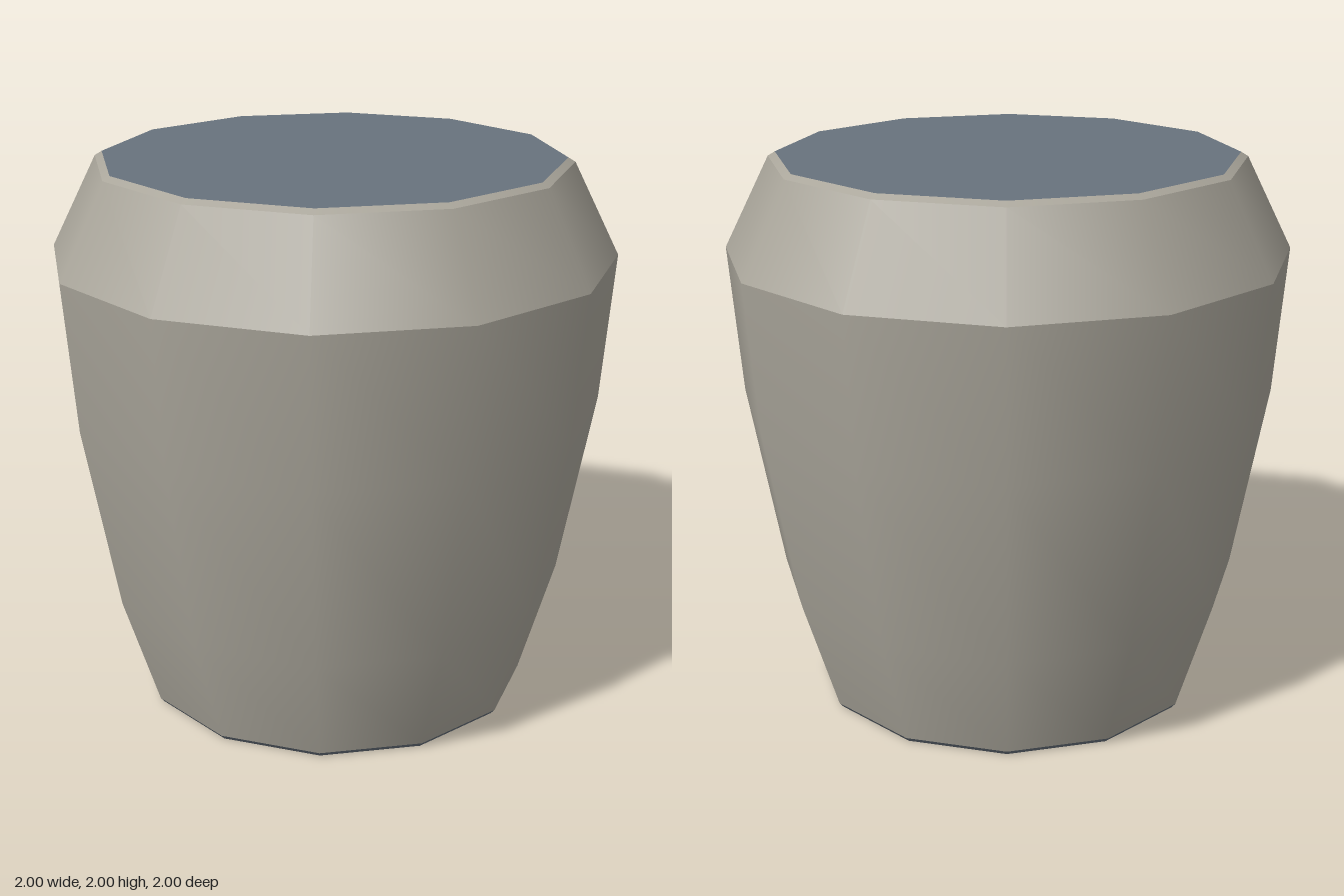
import * as THREE from 'three';

const SIDES = 12;

export function createModel() {
  const group = new THREE.Group();
  group.name = 'tub';

  const shellMat = new THREE.MeshStandardMaterial({ color: 0xaaa69b });
  shellMat.name = 'warm grey shell';
  const capMat = new THREE.MeshStandardMaterial({ color: 0x68727d });
  capMat.name = 'slate cap';

  const add = (name, geometry, material) => {
    const mesh = new THREE.Mesh(geometry, material);
    mesh.name = name;
    group.add(mesh);
    return mesh;
  };

  // Twelve-sided band from [radius, height] pairs, listed bottom to top
  const band = (points) =>
    new THREE.LatheGeometry(points.map(([r, y]) => new THREE.Vector2(r, y)), SIDES);

  // The foot is slightly oval: narrower front to back
  const ovalFoot = (geometry) => {
    const p = geometry.attributes.position;
    for (let i = 0; i < p.count; i++) {
      if (p.getY(i) < 0.1) p.setZ(i, p.getZ(i) * 0.94);
    }
    return geometry;
  };

  // Tapered body
  add('body', ovalFoot(band([[0.715, 0.018], [0.84, 0.45], [0.96, 1.13], [1, 1.66]])), shellMat);

  // Sloped shoulder and narrow rim
  add('shoulder', band([[1, 1.66], [0.835, 1.985]]), shellMat);
  add('rim', band([[0.835, 1.985], [0.81, 2]]), shellMat);

  // Flat top
  add('topCap', new THREE.CircleGeometry(0.81, SIDES).rotateX(-Math.PI / 2).translate(0, 2, 0), capMat);

  // Base with a small bevel
  add('baseBevel', ovalFoot(band([[0.70, 0], [0.715, 0.018]])), capMat);
  add('baseCap', ovalFoot(new THREE.CircleGeometry(0.70, SIDES).rotateX(Math.PI / 2)), capMat);

  return group;
}
